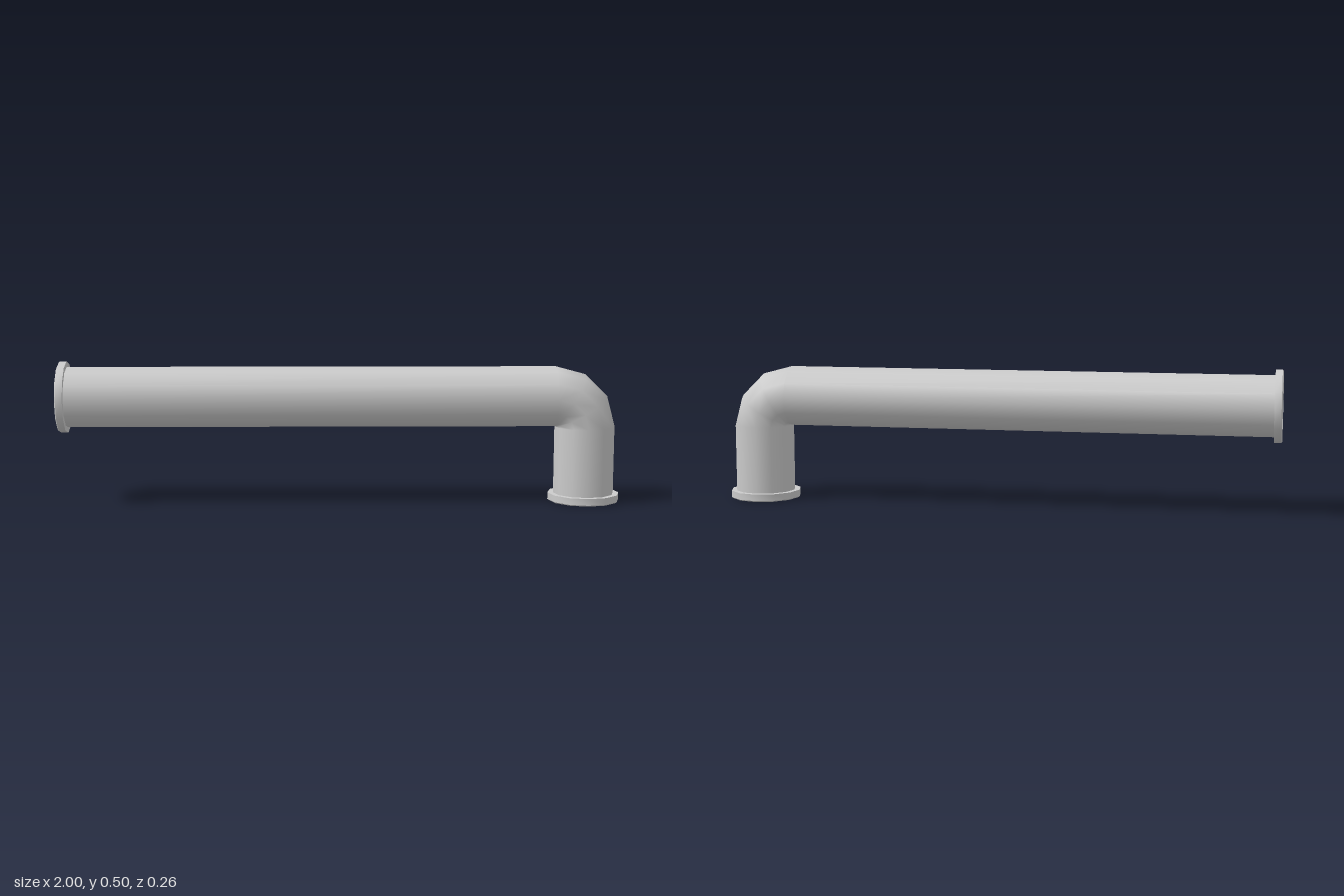
import * as THREE from 'three';
import { toCreasedNormals } from 'three/addons/utils/BufferGeometryUtils.js';

const SIDES = 12;
const R = 0.108;        // pipe radius, also the bend radius
const AXIS_X = 0.872;   // axis of the upright leg
const AXIS_Y = 0.377;   // axis of the long run

// Open pipe: rings swept up the leg, round the elbow and along the run
function pipeGeometry() {
  const bendX = AXIS_X - R, bendY = AXIS_Y - R, steps = 3;
  const rings = [{ x: AXIS_X, y: 0, a: 0 }];
  for (let i = 0; i <= steps; i++) {
    const a = (i / steps) * Math.PI / 2;
    rings.push({ x: bendX + R * Math.cos(a), y: bendY + R * Math.sin(a), a });
  }
  rings.push({ x: -1, y: AXIS_Y, a: Math.PI / 2 });

  const positions = [], normals = [], index = [];
  rings.forEach(({ x, y, a }, i) => {
    for (let j = 0; j <= SIDES; j++) {
      const t = (j / SIDES) * Math.PI * 2;
      const n = [Math.cos(t) * Math.cos(a), Math.cos(t) * Math.sin(a), Math.sin(t)];
      positions.push(x + R * n[0], y + R * n[1], R * n[2]);
      normals.push(...n);
      if (i < rings.length - 1 && j < SIDES) {
        const p = i * (SIDES + 1) + j, q = p + SIDES + 1;
        index.push(p, q, q + 1, p, q + 1, p + 1);
      }
    }
  });
  const geometry = new THREE.BufferGeometry();
  geometry.setAttribute('position', new THREE.Float32BufferAttribute(positions, 3));
  geometry.setAttribute('normal', new THREE.Float32BufferAttribute(normals, 3));
  geometry.setIndex(index);
  return geometry;
}

// Collar with a small chamfer on its outer face; the pipe wall forms its bore
function flangeGeometry() {
  const profile = [[R, 0], [0.123, 0], [0.128, 0.004], [0.128, 0.028], [R, 0.028]]
    .map(([x, y]) => new THREE.Vector2(x, y));
  return toCreasedNormals(new THREE.LatheGeometry(profile, SIDES), 0.6);
}

export function createModel() {
  const model = new THREE.Group();
  model.name = 'elbowPipe';
  const material = new THREE.MeshStandardMaterial({ color: 0xcccccc, side: THREE.DoubleSide });

  const add = (name, geometry) => {
    const mesh = new THREE.Mesh(geometry, material);
    mesh.name = name;
    model.add(mesh);
    return mesh;
  };

  add('pipe', pipeGeometry());

  // Flanges at both open ends
  const flange = flangeGeometry();
  add('bottomFlange', flange).position.set(AXIS_X, 0, 0);
  const end = add('endFlange', flange);
  end.position.set(-1, AXIS_Y, 0);
  end.rotation.z = -Math.PI / 2;

  return model;
}
